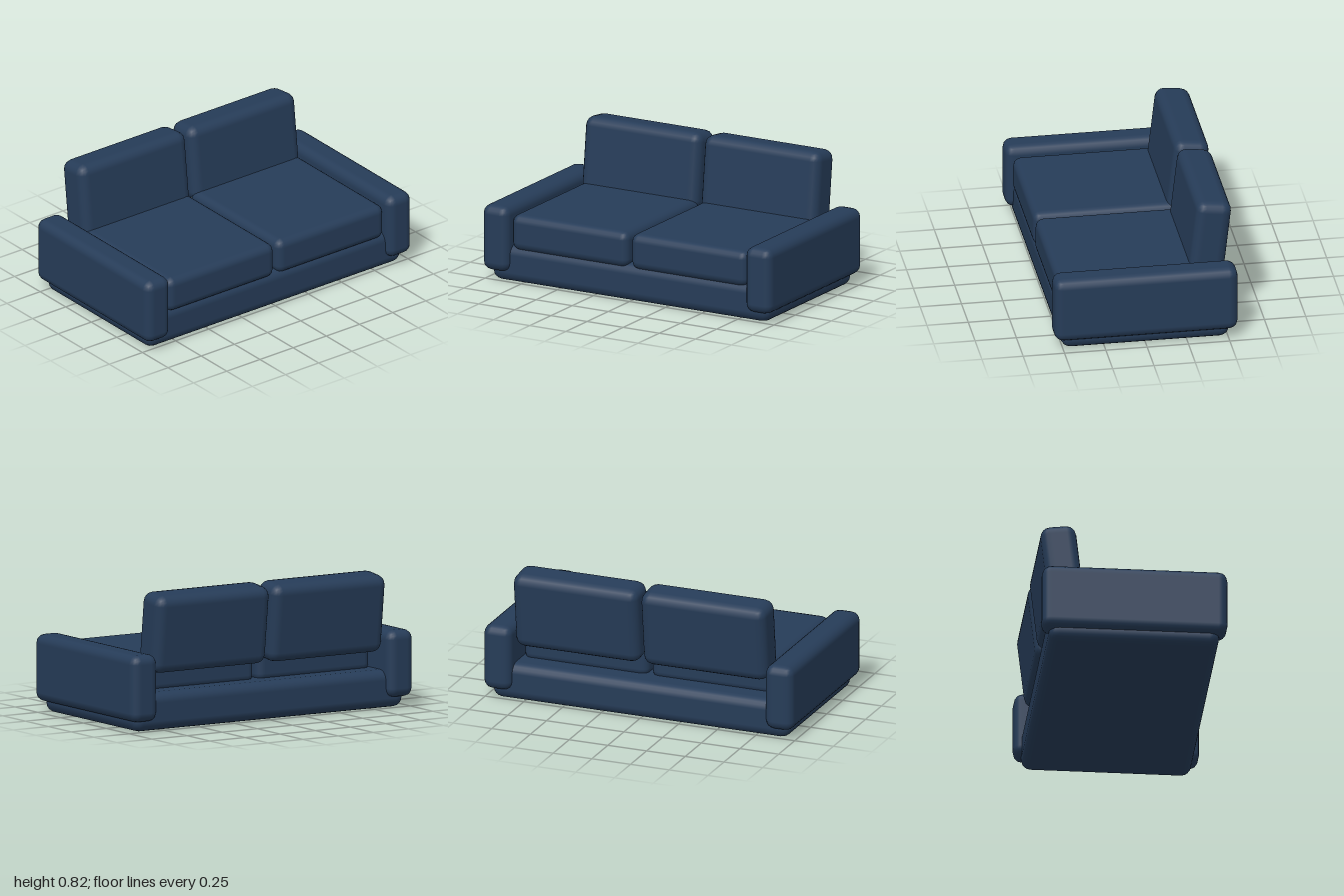
import * as THREE from 'three';
import { RoundedBoxGeometry } from 'three/addons/geometries/RoundedBoxGeometry.js';

const fabric = new THREE.MeshStandardMaterial({ name: 'navyFabric', color: 0x263c58 });

// Softly rounded upholstered block, given its size and centre
function block(name, [w, h, d], [x, y, z], radius) {
  const mesh = new THREE.Mesh(new RoundedBoxGeometry(w, h, d, 2, radius), fabric);
  mesh.name = name;
  mesh.position.set(x, y, z);
  return mesh;
}

export function createModel() {
  const sofa = new THREE.Group();
  sofa.name = 'sofa';

  // Low plinth carrying the seat
  sofa.add(block('base', [1.92, 0.23, 1.02], [0, 0.115, 0], 0.06));

  for (const [side, s] of [['left', 1], ['right', -1]]) {
    // Arm slab, slightly longer than the base
    sofa.add(block(side + 'Arm', [0.18, 0.405, 1.11], [s * 0.91, 0.2675, 0], 0.055));

    // Seat cushion, stopping short of the rear edge
    sofa.add(block(side + 'SeatCushion', [0.805, 0.22, 0.88], [s * 0.4125, 0.315, 0.08], 0.05));

    // Back cushion, leaning backwards
    const back = block(side + 'BackCushion', [0.805, 0.475, 0.215], [s * 0.4125, 0.5825, -0.419], 0.06);
    back.rotation.x = -0.115;
    sofa.add(back);
  }
  return sofa;
}
